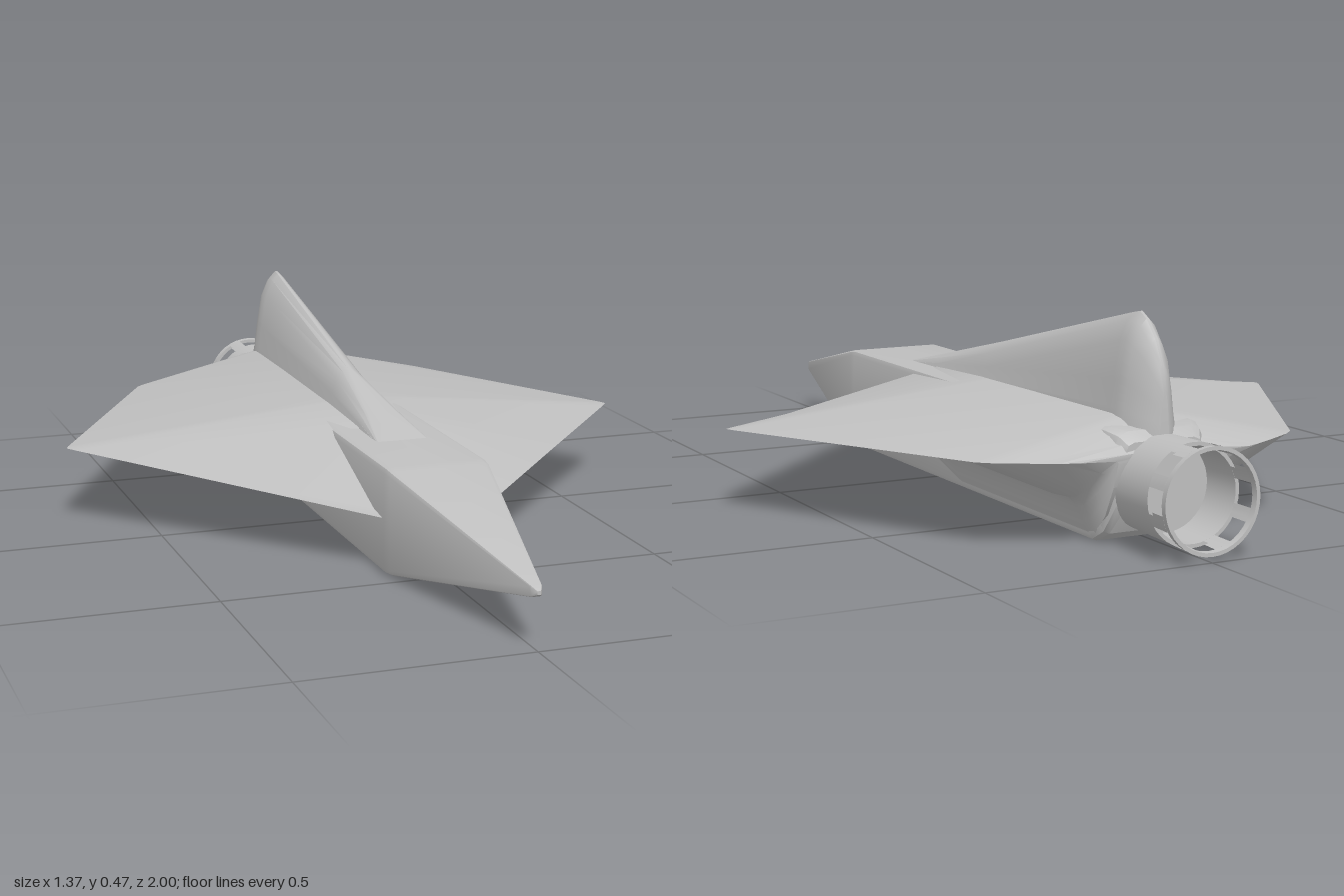
import * as THREE from 'three';
import { toCreasedNormals } from 'three/addons/utils/BufferGeometryUtils.js';

const grey = new THREE.MeshStandardMaterial({ color: 0xbfbfbf, side: THREE.DoubleSide });
grey.name = 'plain grey';

const lerp = THREE.MathUtils.lerp;

// Skins mirrored cross-sections, ordered from front to back.
// Each section is { z, half }, with half listing [x, y] from top to bottom on the +x side.
function loft(name, sections, crease = 0.5) {
  const loops = sections.map(({ z, half }) => {
    const other = half.slice(1, -1).reverse().map(([x, y]) => [-x, y]);
    return [...half, ...other].map(([x, y]) => [x, y, z]);
  });
  const n = loops[0].length;
  const positions = [];
  const tri = (a, b, c) => positions.push(...a, ...b, ...c);
  for (let i = 0; i < loops.length - 1; i++) {
    for (let j = 0; j < n; j++) {
      const k = (j + 1) % n;
      const [a, b, c, d] = [loops[i][j], loops[i][k], loops[i + 1][k], loops[i + 1][j]];
      tri(a, b, d);
      tri(b, c, d);
    }
  }
  // End caps
  const first = loops[0], last = loops[loops.length - 1];
  for (let j = 1; j < n - 1; j++) {
    tri(first[0], first[j + 1], first[j]);
    tri(last[0], last[j], last[j + 1]);
  }
  const geometry = new THREE.BufferGeometry();
  geometry.setAttribute('position', new THREE.Float32BufferAttribute(positions, 3));
  const mesh = new THREE.Mesh(toCreasedNormals(geometry, crease), grey);
  mesh.name = name;
  return mesh;
}

// Square hull with slightly rounded corners and a pyramid nose
function createHull() {
  const rows = [ // z, half width, bottom, top, corner
    [1, 0.004, 0.116, 0.124, 0.001],
    [0.985, 0.012, 0.108, 0.132, 0.003],
    [0.47, 0.115, 0.004, 0.236, 0.012],
    [0.44, 0.118, 0, 0.24, 0.014],
    [-0.73, 0.118, 0, 0.24, 0.014],
    [-0.765, 0.114, 0.02, 0.24, 0.02],
    [-0.8, 0.105, 0.08, 0.235, 0.03],
    [-0.82, 0.09, 0.16, 0.215, 0.02],
  ];
  return loft('hull', rows.map(([z, w, b, t, r]) => ({
    z,
    half: [[0, t], [w - r, t], [w - r * 0.3, t - r * 0.3], [w, t - r],
      [w, b + r], [w - r * 0.3, b + r * 0.3], [w - r, b], [0, b]],
  })));
}

// Thick-rooted wings with sharp edges and a fillet beneath
function createWings() {
  const fillet = [[0.2, 0.105], [0.165, 0.095], [0.145, 0.075], [0.13, 0.04], [0.115, 0.012]];
  const rows = [ // z, root top, edge x, edge y, underside depth
    [0.43, 0.125, 0.12, 0.125, 0],
    [0.1, 0.242, 0.44, 0.159, 0.57],
    [-0.13, 0.25, 0.665, 0.183, 0.97],
    [-0.15, 0.25, 0.683, 0.185, 1],
    [-0.17, 0.25, 0.675, 0.185, 1],
    [-0.72, 0.257, 0.378, 0.185, 1],
    [-0.745, 0.252, 0.35, 0.185, 0.95],
    [-0.78, 0.235, 0.29, 0.185, 0.72],
    [-0.81, 0.215, 0.235, 0.185, 0.35],
    [-0.825, 0.195, 0.2, 0.185, 0.05],
  ];
  return loft('wings', rows.map(([z, top, ex, ey, k]) => ({
    z,
    half: [[0, Math.min(0.2, top)], [0.056, top], [ex, ey],
      ...fillet.map(([x, y]) => [Math.min(ex, lerp(0.11, x, k)), lerp(ey, y, k)]),
      [0, lerp(ey, 0.05, k)]],
  })));
}

// Tail fin: a flat ramp that narrows into a tall ridge
function createFin() {
  const rows = [ // z, top, ridge half width, base half width
    [0.25, 0.236, 0.06, 0.064],
    [0.1, 0.272, 0.034, 0.06],
    [-0.13, 0.327, 0.004, 0.058],
    [-0.7, 0.46, 0.003, 0.062],
    [-0.725, 0.465, 0.003, 0.064],
    [-0.75, 0.452, 0.003, 0.06],
    [-0.785, 0.415, 0.003, 0.046],
    [-0.81, 0.365, 0.002, 0.026],
    [-0.82, 0.31, 0.001, 0.01],
  ];
  return loft('tailFin', rows.map(([z, top, r, b]) => ({
    z,
    half: [[0, top], [r, top],
      ...[[0.25, 0.93], [0.55, 0.75], [0.78, 0.4], [0.9, 0.15], [1, 0]]
        .map(([s, h]) => [lerp(r, b, s), lerp(0.235, top, h)]),
      [b, 0.19], [0, 0.19]],
  })), 0.7);
}

// Open exhaust tube with a ring of square windows
function createNozzle() {
  const nozzle = new THREE.Group();
  nozzle.name = 'nozzle';
  nozzle.position.y = 0.122;
  const wall = 0.008;
  // Closed wall section swept around the z axis; distances run backwards along -z
  const band = (name, z0, r0, z1, r1, start = 0, sweep = Math.PI * 2, steps = 40) => {
    const profile = [[r0 - wall, z0], [r0, z0], [r1, z1], [r1 - wall, z1], [r0 - wall, z0]]
      .map(([r, z]) => new THREE.Vector2(r, z));
    const geometry = new THREE.LatheGeometry(profile, steps, start, sweep).rotateX(-Math.PI / 2);
    const mesh = new THREE.Mesh(toCreasedNormals(geometry, 0.5), grey);
    mesh.name = name;
    nozzle.add(mesh);
  };
  band('nozzleTube', 0.74, 0.102, 0.93, 0.107);
  band('nozzleRim', 0.985, 0.109, 1, 0.11);
  const post = 0.27;
  for (let i = 0; i < 8; i++) {
    band('nozzlePost', 0.93, 0.107, 0.985, 0.109, (i + 0.5) * Math.PI / 4 - post / 2, post, 3);
  }
  // Closed end inside the tube
  const floor = new THREE.Mesh(new THREE.CircleGeometry(0.1, 40).rotateY(Math.PI), grey);
  floor.name = 'nozzleFloor';
  floor.position.z = -0.83;
  nozzle.add(floor);
  return nozzle;
}

export function createModel() {
  const model = new THREE.Group();
  model.name = 'deltaWingCraft';
  model.add(createHull(), createWings(), createFin(), createNozzle());
  return model;
}
